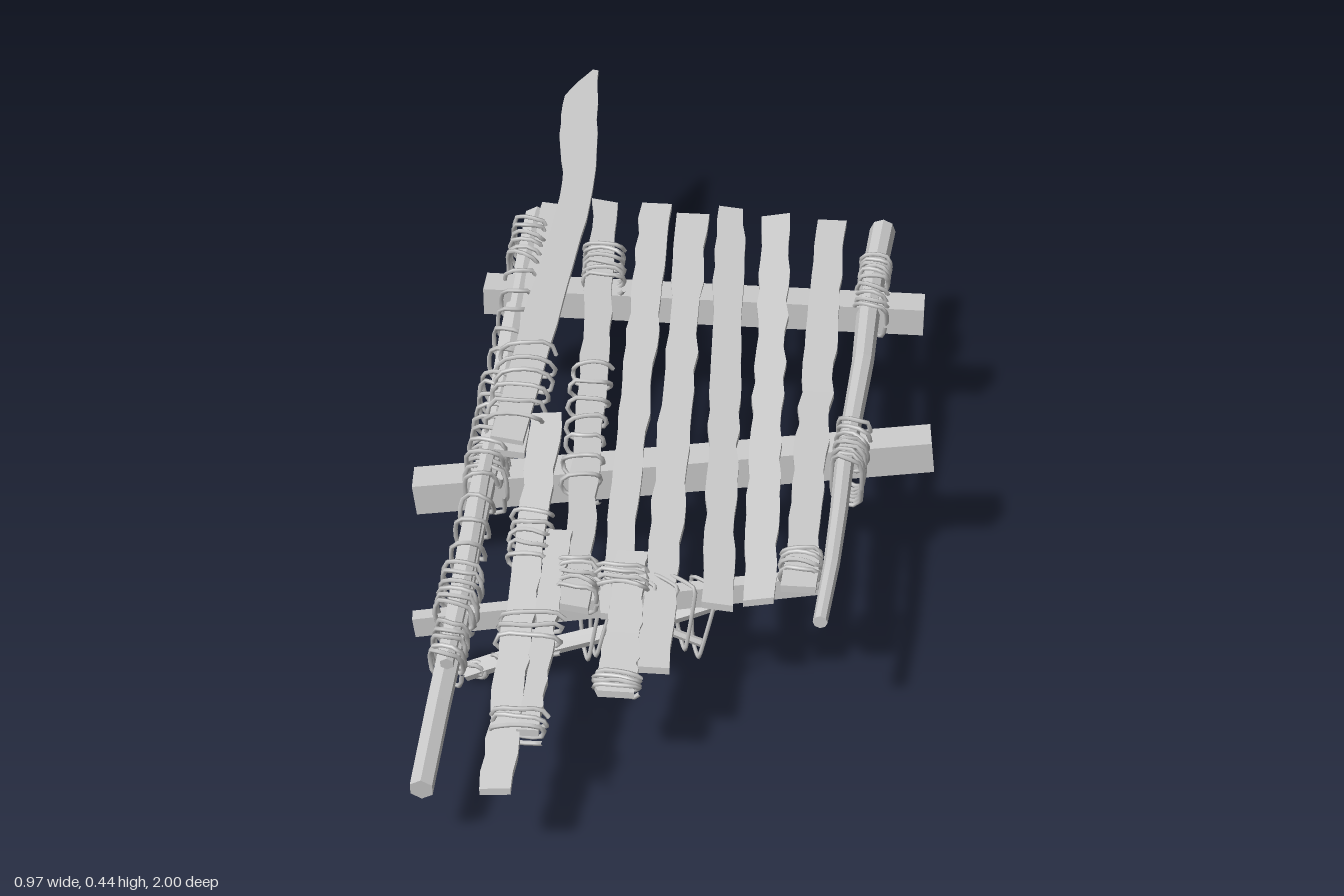
import * as THREE from 'three';

const V = (x, y, z) => new THREE.Vector3(x, y, z);
const material = new THREE.MeshStandardMaterial({ color: 0xcccccc, flatShading: true });
const smooth = new THREE.MeshStandardMaterial({ color: 0xcccccc });

export function createModel() {
  const raft = new THREE.Group();
  raft.name = 'raft';
  let seed = 7;
  const rand = () => (seed = (seed * 16807) % 2147483647) / 2147483647 - 0.5;

  function add(name, geometry, mat = material) {
    const mesh = new THREE.Mesh(geometry, mat);
    mesh.name = name;
    raft.add(mesh);
    return mesh;
  }

  // Round pole between two points, with a slightly uneven trunk
  function pole(name, a, b, ra, rb, sides = 7) {
    const g = new THREE.CylinderGeometry(rb, ra, a.distanceTo(b), sides, 8);
    const p = g.attributes.position;
    for (let i = 0; i < p.count; i++) {
      const k = 0.003 * Math.sin(p.getY(i) * 11);
      p.setXYZ(i, p.getX(i) + k, p.getY(i), p.getZ(i) + k);
    }
    g.computeVertexNormals();
    const m = add(name, g);
    m.position.copy(a).lerp(b, 0.5);
    m.quaternion.setFromUnitVectors(V(0, 1, 0), b.clone().sub(a).normalize());
  }

  // Squared timber running across the raft
  function timber(name, a, b, h, d) {
    const m = add(name, new THREE.BoxGeometry(a.distanceTo(b), h, d));
    m.position.copy(a).lerp(b, 0.5);
    m.quaternion.setFromUnitVectors(V(1, 0, 0), b.clone().sub(a).normalize());
  }

  // Plank through stations [x, y, z, width], with ragged long edges
  function plank(name, stations, jag = 0.006, roll = 0, t = 0.014) {
    const n = 24;
    const path = new THREE.CatmullRomCurve3(stations.map(s => V(s[0], s[1], s[2])));
    const g = new THREE.BoxGeometry(1, t, 1, 1, 1, n);
    const p = g.attributes.position;
    const edge = Array.from({ length: 2 * n + 2 }, () => rand() * jag);
    for (let i = 0; i < p.count; i++) {
      const u = p.getZ(i) + 0.5, row = Math.round(u * n), side = Math.sign(p.getX(i));
      const f = u * (stations.length - 1), k = Math.min(Math.floor(f), stations.length - 2);
      const w = THREE.MathUtils.lerp(stations[k][3], stations[k + 1][3], f - k);
      const c = path.getPoint(u);
      const x = side * (w / 2 + edge[row * 2 + (side > 0 ? 1 : 0)]);
      p.setXYZ(i, c.x + x, c.y + p.getY(i) + x * roll, c.z);
    }
    g.computeVertexNormals();
    add(name, g);
  }

  // Rope wound around a piece from a to b
  function wrap(a, b, rx, ry, turns, slant = 0.01) {
    const pts = [], per = 8;
    for (let i = 0; i <= turns * per; i++) {
      const t = i / per * Math.PI * 2, c = Math.cos(t), s = Math.sin(t);
      const q = a.clone().lerp(b, i / (turns * per));
      const k = 1 + rand() * 0.12;
      q.x += rx * k * Math.sign(c) * Math.abs(c) ** 0.7;
      q.y += ry * k * Math.sign(s) * Math.abs(s) ** 0.7;
      q.z += slant * Math.sin(t + 0.6) + rand() * 0.012;
      pts.push(q);
    }
    add('ropeWrap', new THREE.TubeGeometry(new THREE.CatmullRomCurve3(pts), turns * 14, 0.0045, 5), smooth);
  }

  // Closed rope sling through a few points
  function sling(points) {
    const c = new THREE.CatmullRomCurve3(points, true, 'catmullrom', 0.15);
    add('ropeSling', new THREE.TubeGeometry(c, 36, 0.004, 5, true), smooth);
  }

  // Side logs and the stick lashed on top of the right-hand one
  pole('rightLog', V(-0.35, 0.147, 0.955), V(-0.345, 0.295, -0.64), 0.022, 0.027, 6);
  pole('rightTopStick', V(-0.34, 0.215, 0.7), V(-0.34, 0.335, -0.58), 0.013, 0.016, 6);
  pole('leftLog', V(0.305, 0.298, 0.63), V(0.355, 0.295, -0.65), 0.013, 0.026, 8);

  // Cross timbers under the deck
  timber('rearCrossTimber', V(-0.415, 0.28, -0.375), V(0.45, 0.28, -0.375), 0.058, 0.06);
  timber('middleCrossTimber', V(-0.482, 0.17, 0.142), V(0.48, 0.275, 0.065), 0.064, 0.064);
  timber('frontCrossStick', V(-0.425, 0.17, 0.54), V(0.3, 0.255, 0.46), 0.04, 0.026);

  // Loose sticks hanging below the front
  pole('hangingStick', V(-0.345, 0.02, 0.485), V(0.13, 0.21, 0.465), 0.018, 0.015);
  pole('shortHangingStick', V(-0.11, 0.2, 0.49), V(0.085, 0.112, 0.47), 0.008, 0.008, 6);

  // Deck planks, rear end first
  plank('curvedPlank', [
    [-0.263, 0.434, -1, 0.012], [-0.28, 0.423, -0.9, 0.068], [-0.272, 0.405, -0.77, 0.078],
    [-0.258, 0.383, -0.62, 0.06], [-0.268, 0.36, -0.42, 0.062], [-0.285, 0.335, -0.2, 0.066],
    [-0.305, 0.295, 0.14, 0.06]], 0.003, -0.15, 0.01);
  const planks = [
    [-0.3, 0.342, -0.61, 0.06, -0.305, 0.265, 0.14, 0.055, -0.1],
    [-0.2, 0.355, -0.61, 0.052, -0.135, 0.24, 0.56, 0.052, -0.15],
    [-0.1, 0.345, -0.625, 0.06, -0.065, 0.235, 0.57, 0.05, 0],
    [-0.025, 0.328, -0.62, 0.06, 0.02, 0.225, 0.7, 0.058, 0],
    [0.052, 0.35, -0.615, 0.056, 0.12, 0.262, 0.56, 0.052, -0.1],
    [0.145, 0.338, -0.615, 0.056, 0.19, 0.262, 0.54, 0.058, 0.2],
    [0.256, 0.328, -0.62, 0.056, 0.26, 0.295, 0.54, 0.06, 0],
    [-0.24, 0.3, 0.06, 0.055, -0.218, 0.19, 1, 0.055, 0.1],
    [-0.18, 0.27, 0.38, 0.04, -0.178, 0.212, 0.87, 0.034, 0],
    [-0.045, 0.262, 0.42, 0.055, -0.04, 0.22, 0.765, 0.068, 0],
  ];
  for (const [x0, y0, z0, w0, x1, y1, z1, w1, roll] of planks) {
    const sag = (y0 + y1) / 2 - 0.003;
    plank('deckPlank', [[x0, y0, z0, w0], [(x0 + x1) / 2, sag, (z0 + z1) / 2, (w0 + w1) / 2],
      [x1, y1, z1, w1]], 0.008, roll);
  }

  // Rope along the right-hand log: [zStart, zEnd, turns, rx, ry]
  const logY = z => 0.263 - z * 0.092;
  for (const [z0, z1, n, rx, ry] of [
    [-0.56, -0.42, 6, 0.034, 0.046], [-0.4, -0.1, 5, 0.032, 0.044], [-0.08, 0.18, 8, 0.036, 0.045],
    [0.2, 0.45, 4, 0.03, 0.042], [0.46, 0.58, 6, 0.036, 0.045], [0.6, 0.7, 5, 0.03, 0.04]])
    wrap(V(-0.344, logY(z0), z0), V(-0.346, logY(z1), z1), rx, ry, n, 0.02);

  // Lashings at the left log and the timber joints
  wrap(V(0.349, 0.297, -0.52), V(0.347, 0.297, -0.44), 0.029, 0.029, 6);
  wrap(V(0.348, 0.287, -0.42), V(0.345, 0.287, -0.33), 0.032, 0.045, 4, 0.03);
  wrap(V(0.33, 0.265, 0.1), V(0.326, 0.262, 0.17), 0.028, 0.065, 6, 0.02);
  wrap(V(0.335, 0.285, 0.03), V(0.33, 0.285, 0.13), 0.03, 0.045, 4, 0.03);
  wrap(V(-0.345, 0.21, 0.08), V(-0.345, 0.205, 0.18), 0.04, 0.062, 5, 0.02);

  // Bindings around planks: [x0, y0, z0, x1, y1, z1, rx, ry, turns]
  for (const [x0, y0, z0, x1, y1, z1, rx, ry, n] of [
    [-0.295, 0.32, -0.12, -0.3, 0.29, 0.12, 0.055, 0.035, 6],
    [-0.188, 0.335, -0.47, -0.178, 0.325, -0.35, 0.04, 0.026, 6],
    [-0.172, 0.31, -0.1, -0.155, 0.28, 0.28, 0.038, 0.024, 7],
    [-0.235, 0.27, 0.33, -0.23, 0.25, 0.46, 0.037, 0.022, 5],
    [-0.205, 0.238, 0.58, -0.205, 0.23, 0.67, 0.058, 0.02, 3],
    [-0.198, 0.214, 0.82, -0.198, 0.207, 0.88, 0.048, 0.02, 3],
    [-0.14, 0.245, 0.44, -0.135, 0.235, 0.53, 0.038, 0.03, 5],
    [-0.06, 0.24, 0.45, -0.055, 0.235, 0.51, 0.05, 0.03, 4],
    [-0.04, 0.226, 0.72, -0.04, 0.221, 0.755, 0.04, 0.014, 4],
    [0.26, 0.29, 0.43, 0.26, 0.285, 0.5, 0.036, 0.026, 4],
    [-0.335, 0.024, 0.485, -0.325, 0.03, 0.485, 0.02, 0.02, 3],
    [-0.285, 0.045, 0.485, -0.265, 0.053, 0.485, 0.016, 0.021, 2]])
    wrap(V(x0, y0, z0), V(x1, y1, z1), rx, ry, n);

  // Slings holding the loose sticks below the planks: [top x, bottom x, bottom y]
  for (const [xt, xb, yb] of [[-0.115, -0.125, 0.085], [-0.09, -0.11, 0.095], [-0.02, -0.04, 0.12],
    [0.02, -0.02, 0.135], [0.05, 0.05, 0.12], [0.09, 0.075, 0.105]])
    sling([V(xt - 0.025, 0.245, 0.455), V(xt + 0.025, 0.25, 0.5), V(xb + 0.008, yb, 0.508),
      V(xb - 0.008, yb, 0.455)]);

  return raft;
}
